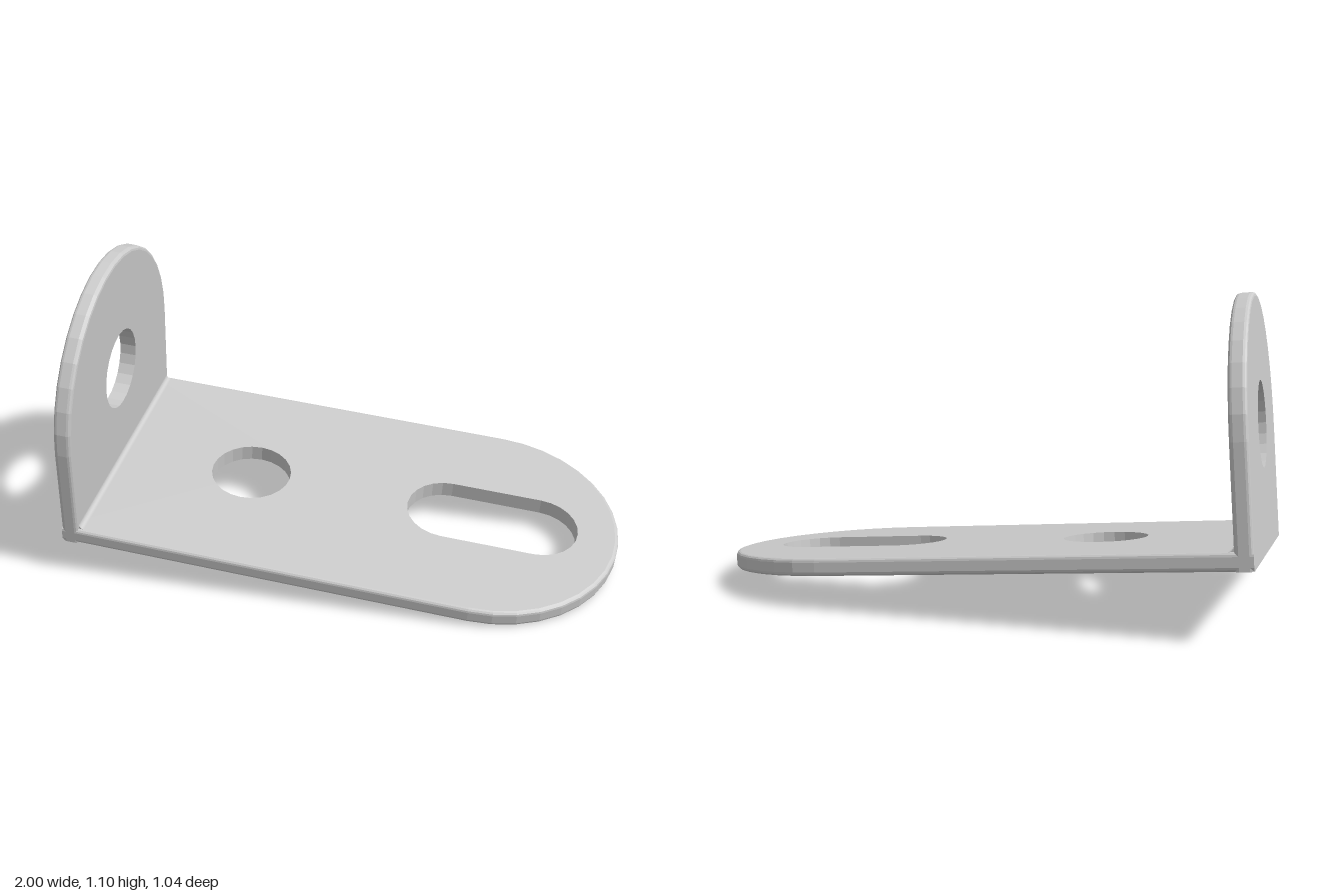
import * as THREE from 'three';
import { mergeGeometries } from 'three/addons/utils/BufferGeometryUtils.js';

const HALF = 0.498;   // half width and end radius of both plates
const T = 0.062;      // sheet thickness
const R = 0.014;      // edge rounding
const HOLE = 0.153;   // hole radius

// Round-ended plate outline, inset by d; open along its straight foot
function outline(centre, d) {
  const pts = [new THREE.Vector2(HALF - d, 0)];
  for (let i = 0; i <= 18; i++) {
    const a = Math.PI * i / 18;
    pts.push(new THREE.Vector2((HALF - d) * Math.cos(a), centre + (HALF - d) * Math.sin(a)));
  }
  pts.push(new THREE.Vector2(d - HALF, 0));
  return pts;
}

// Clockwise closed slot between two centres (equal centres give a round hole)
function slot(v0, v1) {
  const pts = [];
  for (const [v, start] of [[v1, Math.PI], [v0, 0]]) {
    for (let i = 0; i <= 12; i++) {
      const a = start - Math.PI * i / 12;
      pts.push(new THREE.Vector2(HOLE * Math.cos(a), v + HOLE * Math.sin(a)));
    }
  }
  pts.push(pts[0].clone());
  return pts;
}

// Wall joining successive sections, each { pts, w }
function wall(sections) {
  const pos = [];
  const put = (s, i) => pos.push(s.pts[i].x, s.pts[i].y, s.w);
  for (let k = 0; k + 1 < sections.length; k++) {
    const a = sections[k], b = sections[k + 1];
    for (let i = 0; i + 1 < a.pts.length; i++) {
      put(a, i); put(a, i + 1); put(b, i + 1);
      put(a, i); put(b, i + 1); put(b, i);
    }
  }
  const g = new THREE.BufferGeometry();
  g.setAttribute('position', new THREE.Float32BufferAttribute(pos, 3));
  g.computeVertexNormals();
  return g;
}

// Plate with sharp-edged holes and a rounded outer rim
function plateGeometry(centre, slots) {
  const holes = slots.map(([a, b]) => slot(a, b));
  const shape = new THREE.Shape(outline(centre, R));
  shape.holes = holes.map(p => new THREE.Path(p));
  const cap = () => {
    const g = new THREE.ShapeGeometry(shape).toNonIndexed();
    g.deleteAttribute('uv');
    return g;
  };
  const top = cap().translate(0, 0, T);
  const bottom = cap().rotateY(Math.PI).scale(1, 1, 1);

  // Rounded rim sections, lower edge then upper edge
  const rim = [];
  for (let i = 0; i <= 3; i++) {
    const a = i / 3 * Math.PI / 2;
    rim.push({ pts: outline(centre, R * (1 - Math.sin(a))), w: R * (1 - Math.cos(a)) });
  }
  rim.push(...rim.slice().reverse().map(s => ({ pts: s.pts, w: T - s.w })));

  const holeWalls = holes.map(pts => wall([{ pts, w: 0 }, { pts, w: T }]));
  return mergeGeometries([top, bottom, wall(rim), ...holeWalls]);
}

export function createModel() {
  const group = new THREE.Group();
  group.name = 'angleBracket';
  const material = new THREE.MeshStandardMaterial({ color: 0xcccccc, flatShading: true });
  const X = new THREE.Vector3(1, 0, 0), Y = new THREE.Vector3(0, 1, 0), Z = new THREE.Vector3(0, 0, 1);

  const bracket = new THREE.Group();
  bracket.name = 'bracket';
  const add = (name, geometry) => {
    const mesh = new THREE.Mesh(geometry, material);
    mesh.name = name;
    bracket.add(mesh);
  };

  // Long base plate with a round hole and a slot
  add('basePlate', plateGeometry(1.5, [[0.574, 0.574], [1.346, 1.691]])
    .applyMatrix4(new THREE.Matrix4().makeBasis(Z, X, Y)));

  // Short upright plate with one hole
  add('uprightPlate', plateGeometry(0.407, [[0.447, 0.447]])
    .applyMatrix4(new THREE.Matrix4().makeBasis(Z.clone().negate(), Y, X)));

  // Small fillet along the inside of the bend
  const f = 0.018, fillet = new THREE.Shape();
  fillet.moveTo(T, T);
  fillet.lineTo(T + f, T);
  fillet.absarc(T + f, T + f, f, -Math.PI / 2, -Math.PI, true);
  const length = 2 * (HALF - R);
  add('bendFillet', new THREE.ExtrudeGeometry(fillet, { depth: length, bevelEnabled: false, curveSegments: 4 })
    .translate(0, 0, -length / 2));

  // The whole bracket rests tilted
  bracket.rotation.set(0.11, 0, -0.0873, 'ZXY');
  bracket.position.set(-0.995, 0.201, -0.028);
  group.add(bracket);
  return group;
}
